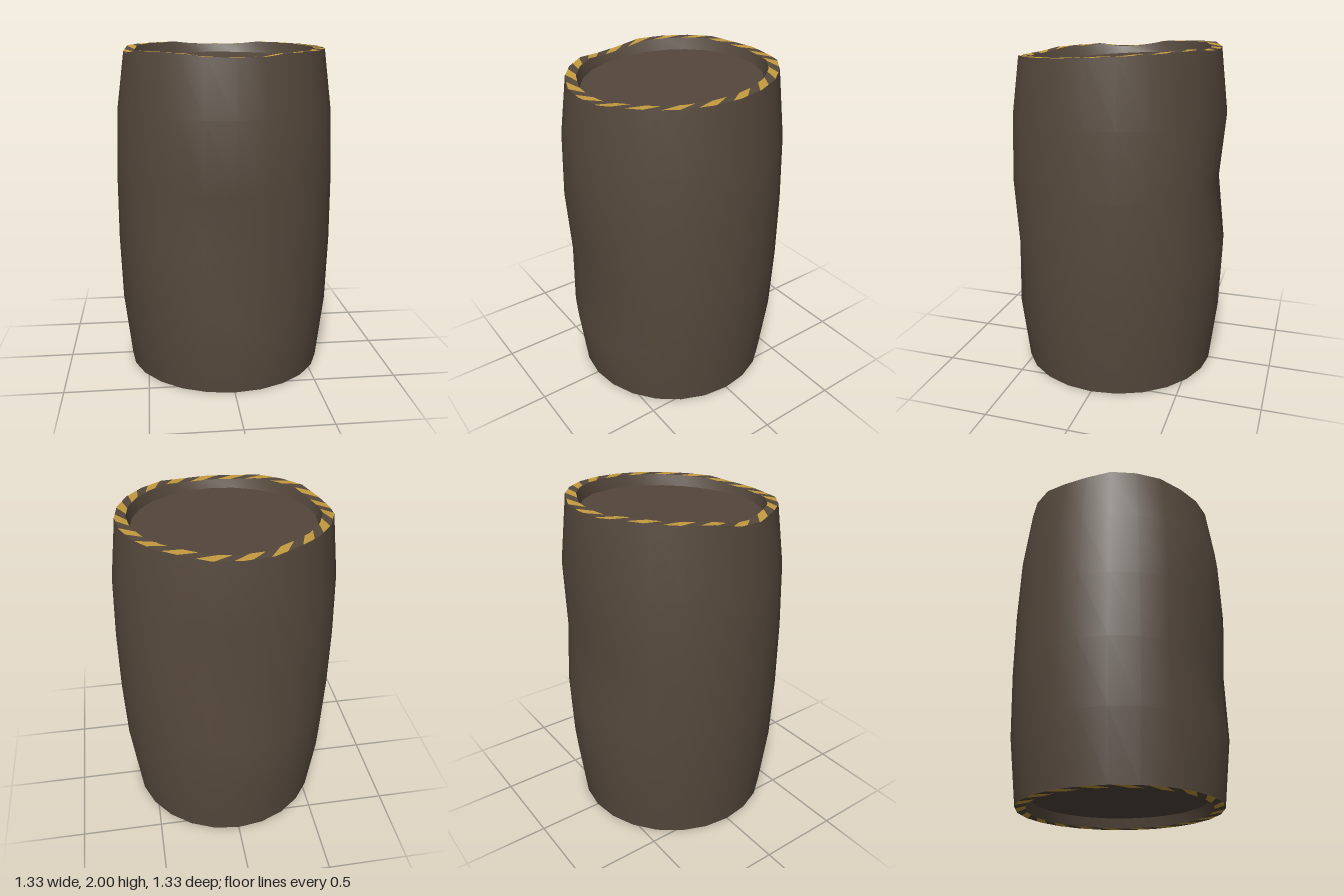
import * as THREE from 'three';

const SIDES = 24;
const STEP = 360 / SIDES;
const OUTER = 0.605, INNER = 0.543, LID = 0.525;

const wood = new THREE.MeshStandardMaterial({ color: 0x56493d });
wood.name = 'brown wood';
const lidWood = new THREE.MeshStandardMaterial({ color: 0x54463c });
lidWood.name = 'lid wood';
const yellow = new THREE.MeshStandardMaterial({ color: 0xc49b3e });
yellow.name = 'stripe yellow';

// Angles run clockwise from the back, seen from above
const polar = (deg, r, y) => {
  const a = THREE.MathUtils.degToRad(deg);
  return new THREE.Vector3(r * Math.sin(a), y, -r * Math.cos(a));
};

const ring = (fn) => Array.from({ length: SIDES }, (_, i) => fn(i * STEP));

// Angular distance from a direction
const away = (deg, dir) => Math.abs(((deg - dir + 540) % 360) - 180);

// Skin over rows of points, listed from the underside up and over the top
function loft(rows, closed = true) {
  const n = rows[0].length;
  const index = [];
  for (let i = 0; i < rows.length - 1; i++) {
    for (let j = 0; j < (closed ? n : n - 1); j++) {
      const k = (j + 1) % n;
      const a = i * n + j, b = i * n + k, c = a + n, d = b + n;
      index.push(a, c, d, a, d, b);
    }
  }
  const geo = new THREE.BufferGeometry().setFromPoints(rows.flat());
  geo.setIndex(index);
  geo.computeVertexNormals();
  return geo;
}

// Tilted top edge, knocked down at the front, back and one side
function topHeight(deg) {
  let y = 1.973 + 0.053 * OUTER * Math.cos(THREE.MathUtils.degToRad(deg));
  if (away(deg, 180) < 20) y -= 0.015;
  if (away(deg, 0) < 20) y -= 0.016;
  if (away(deg, 262) < 10) y -= 0.024;
  return y;
}

// Point on the faceted rim at any angle
function rimPoint(deg, r, top) {
  const i = Math.floor(deg / STEP + 1e-6);
  const corner = (k) => {
    const d = (((k * STEP) % 360) + 360) % 360;
    return polar(d, r, top ? topHeight(d) : 0);
  };
  return corner(i).lerp(corner(i + 1), deg / STEP - i);
}

// Slanted strips, alternately yellow and brown, tiling one rim
function makeRim(name, top) {
  const group = new THREE.Group();
  group.name = name;
  for (let k = 0; k < 40; k++) {
    const start = k * 9 - 9;
    const row = (r, shift) => Array.from({ length: 7 }, (_, i) =>
      rimPoint(start + shift + i * 1.5, r, top));
    const outer = row(OUTER, 4.5), inner = row(INNER, -4.5);
    const geo = loft(top ? [outer, inner] : [inner, outer], false);
    const mesh = new THREE.Mesh(geo, k % 2 ? wood : yellow);
    mesh.name = k % 2 ? 'rimWood' : 'rimStripe';
    group.add(mesh);
  }
  return group;
}

export function createModel() {
  const model = new THREE.Group();
  model.name = 'barrel';
  const add = (name, rows, material) => {
    const mesh = new THREE.Mesh(loft(rows), material);
    mesh.name = name;
    model.add(mesh);
  };

  // Bulging body with a dent in the front and another in the back
  const dent = (deg, dir) => 0.07 * Math.max(0, 1 - away(deg, dir) / 45);
  add('body', [
    ring((d) => polar(d, OUTER, 0)),
    ring((d) => polar(d, 0.652, 0.4)),
    ring((d) => polar(d, 0.666 - dent(d, 180), 0.8)),
    ring((d) => polar(d, 0.666 - dent(d, 0), 1.2)),
    ring((d) => polar(d, 0.652, 1.6)),
    ring((d) => polar(d, OUTER, topHeight(d))),
  ], wood);

  // Striped rims
  model.add(makeRim('topRim', true), makeRim('bottomRim', false));

  // Recessed lid, tilted like the top edge
  const lidEdge = ring((d) => {
    const p = polar(d, LID, 0);
    return p.setY(1.905 - 0.055 * p.z);
  });
  add('topInnerWall', [ring((d) => rimPoint(d, INNER, true)), lidEdge], wood);
  add('lid', [lidEdge, ring(() => new THREE.Vector3(0, 1.905, 0))], lidWood);

  // Recessed base
  const baseEdge = ring((d) => polar(d, LID, 0.06));
  add('bottomInnerWall', [baseEdge, ring((d) => polar(d, INNER, 0))], wood);
  add('base', [ring(() => new THREE.Vector3(0, 0.06, 0)), baseEdge], lidWood);

  return model;
}
